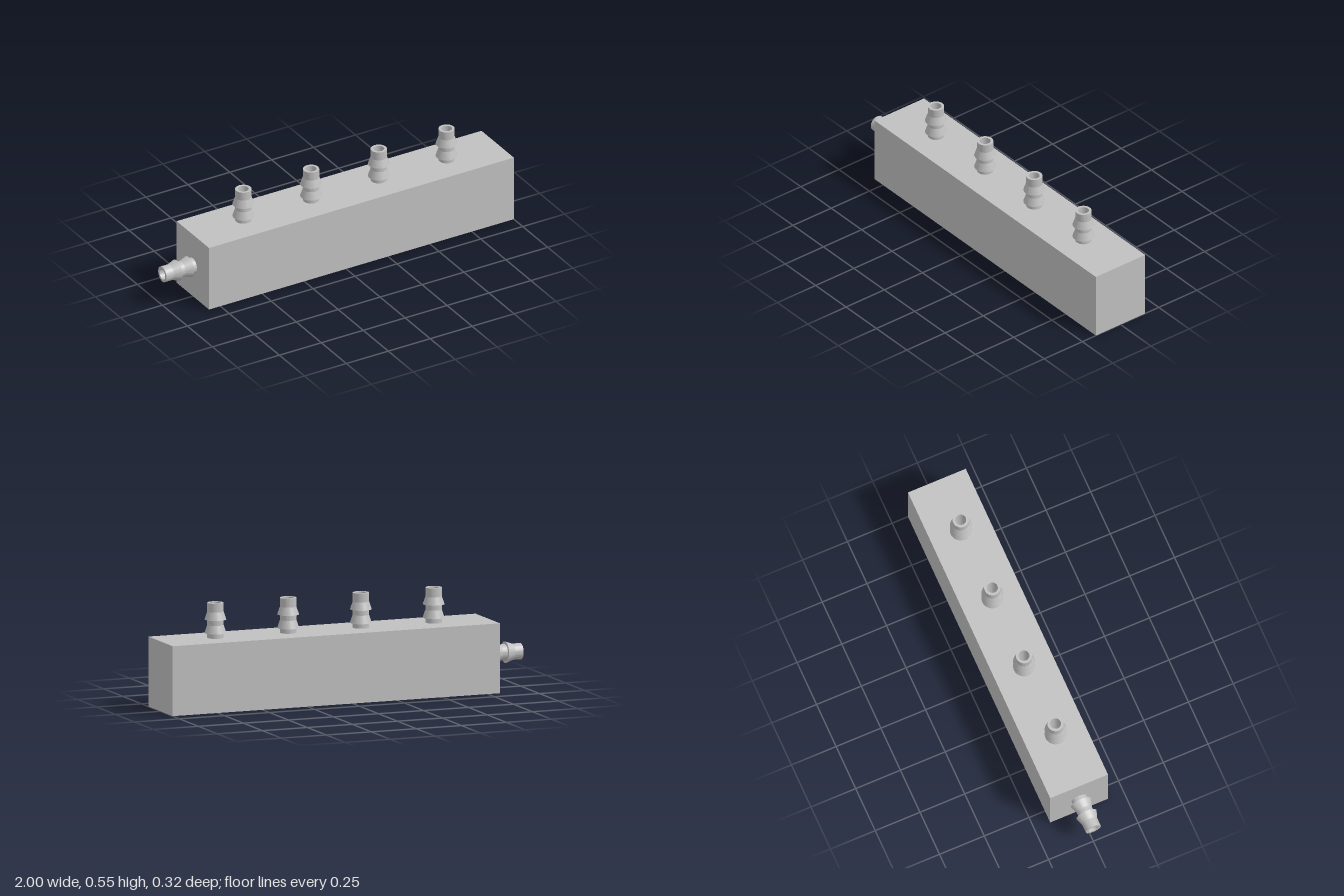
import * as THREE from 'three';
import { toCreasedNormals } from 'three/addons/utils/BufferGeometryUtils.js';

export function createModel() {
  const group = new THREE.Group();
  const metal = new THREE.MeshStandardMaterial({ color: 0xc0c0c0 });
  metal.name = 'light grey';

  const height = 0.363, depth = 0.323, left = -0.818, right = 1;

  // Manifold block
  const block = new THREE.Mesh(new THREE.BoxGeometry(right - left, height, depth), metal);
  block.name = 'manifoldBlock';
  block.position.set((left + right) / 2, height / 2, 0);
  group.add(block);

  // Barbed hose fitting: outside from base to tip, then down the bore to its floor
  const profile = [
    [0.042, 0], [0.042, 0.025], [0.056, 0.025], [0.042, 0.067],
    [0.042, 0.095], [0.056, 0.095], [0.042, 0.136], [0.042, 0.182],
    [0.028, 0.182], [0.028, 0.001], [0, 0.001],
  ].map(([r, y]) => new THREE.Vector2(r, y));
  const barb = toCreasedNormals(new THREE.LatheGeometry(profile, 40), 0.25);

  function addFitting(name, x, y) {
    const fitting = new THREE.Mesh(barb, metal);
    fitting.name = name;
    fitting.position.set(x, y, 0);
    group.add(fitting);
    return fitting;
  }

  // Four outlets along the top, one inlet on the end
  for (let i = 0; i < 4; i++) addFitting(`outletFitting${i + 1}`, -0.517 + i * 0.404, height);
  addFitting('inletFitting', left, height / 2).rotation.z = Math.PI / 2;

  return group;
}
